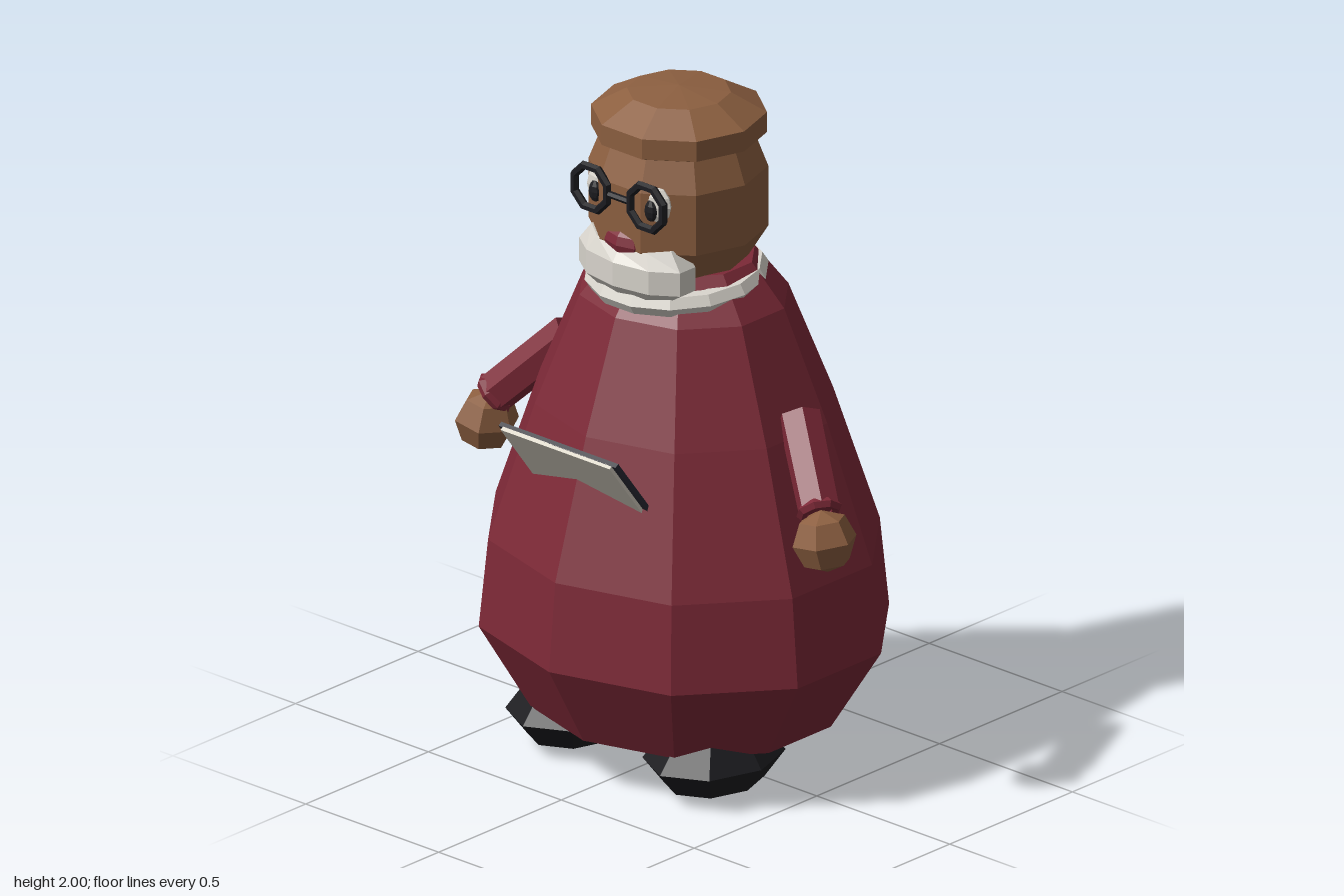
import * as THREE from 'three';

const mat = (color) => new THREE.MeshStandardMaterial({ color, flatShading: true });

export function createModel() {
  const group = new THREE.Group();
  const red = mat(0x7d2937), skin = mat(0x8c5f40), black = mat(0x1c1c20);
  const white = mat(0xd8d4cc), dark = mat(0x2a2a34), page = mat(0xd8d2c4);

  const add = (name, geometry, material, x = 0, y = 0, z = 0) => {
    const mesh = new THREE.Mesh(geometry, material);
    mesh.name = name;
    mesh.position.set(x, y, z);
    group.add(mesh);
    return mesh;
  };
  const lathe = (pts, sides = 10, start = 0) =>
    new THREE.LatheGeometry(pts.map((p) => new THREE.Vector2(...p)), sides, start);
  const ball = (rx, ry, rz, w = 8, h = 4) => new THREE.SphereGeometry(1, w, h).scale(rx, ry, rz);

  // Pear-shaped coat, wider than deep
  const coat = lathe([[0, 0.15], [0.41, 0.15], [0.55, 0.4], [0.525, 0.66], [0.4, 1.06],
    [0.28, 1.38], [0.19, 1.5], [0, 1.5]]);
  add('coat', coat.scale(1.118, 1, 1), red);

  // Head and flat cap
  add('head', lathe([[0, 1.43], [0.1, 1.44], [0.195, 1.5], [0.25, 1.59], [0.25, 1.77],
    [0.215, 1.86], [0, 1.88]], 10, Math.PI / 2), skin, 0, 0, 0.022);
  add('cap', lathe([[0, 1.85], [0.21, 1.855], [0.245, 1.87], [0.245, 1.93], [0.145, 1.985],
    [0, 2]], 10, Math.PI / 2), skin, 0, 0, 0.02);

  // Collar ring, dipping at the front
  const collar = add('collar', new THREE.TorusGeometry(0.225, 0.033, 6, 14).rotateX(Math.PI / 2),
    white, 0, 1.446, 0.03);
  collar.rotation.x = 0.06;

  // Beard, with its top corners turned up
  const beard = lathe([[0, 1.45], [0.145, 1.45], [0.19, 1.48], [0.19, 1.55], [0.15, 1.58], [0, 1.565]]);
  beard.scale(1.05, 1, 0.53);
  const p = beard.attributes.position;
  for (let i = 0; i < p.count; i++) {
    if (p.getY(i) > 1.56) p.setY(i, p.getY(i) + 0.15 * Math.abs(p.getX(i)));
  }
  add('beard', beard, white, 0, 0, 0.19);
  add('nose', ball(0.08, 0.05, 0.05, 8, 6), red, 0, 1.597, 0.228);

  // Glasses
  add('glassesBridge', new THREE.CylinderGeometry(0.01, 0.01, 0.09, 6).rotateZ(Math.PI / 2),
    black, 0, 1.737, 0.265);

  // Open book, tipped forward against the coat
  const book = new THREE.Group();
  book.name = 'book';
  const cover = new THREE.Mesh(new THREE.BoxGeometry(0.44, 0.28, 0.014), dark);
  cover.name = 'bookCover';
  const pages = new THREE.Mesh(new THREE.BoxGeometry(0.41, 0.28, 0.012), page);
  pages.name = 'bookPages';
  pages.position.z = 0.011;
  book.add(cover, pages);
  book.position.set(0, 0.96, 0.427);
  book.rotation.x = 0.65;
  group.add(book);

  for (const s of [1, -1]) {
    const side = s > 0 ? 'left' : 'right';

    // Eyes and eyeglass rims
    add(side + 'Eye', ball(0.05, 0.055, 0.03, 8, 6), white, s * 0.105, 1.735, 0.222);
    add(side + 'Pupil', ball(0.022, 0.032, 0.014, 8, 6), black, s * 0.105, 1.722, 0.248);
    add(side + 'Rim', new THREE.TorusGeometry(0.066, 0.013, 6, 8).rotateZ(Math.PI / 8),
      black, s * 0.105, 1.737, 0.265);

    // Sleeve, cuff and hand
    const from = new THREE.Vector3(s * 0.43, 1.12, -0.005);
    const to = new THREE.Vector3(s * 0.61, 0.925, 0.11);
    const dir = to.clone().sub(from);
    const sleeve = add(side + 'Sleeve', new THREE.CylinderGeometry(0.06, 0.062, dir.length(), 6), red);
    sleeve.position.copy(from).add(to).multiplyScalar(0.5);
    sleeve.quaternion.setFromUnitVectors(new THREE.Vector3(0, 1, 0), dir.clone().normalize());
    const cuff = add(side + 'Cuff', new THREE.TorusGeometry(0.05, 0.016, 5, 8), red);
    cuff.position.copy(to);
    cuff.quaternion.setFromUnitVectors(new THREE.Vector3(0, 0, 1), dir.normalize());
    const hand = add(side + 'Hand', ball(0.09, 0.09, 0.095, 6, 4), skin, s * 0.635, 0.842, 0.115);
    hand.rotation.z = s * 0.15;

    // Shoe
    add(side + 'Shoe', ball(0.178, 0.108, 0.22), black, s * 0.258, 0.108, 0.157);
  }
  return group;
}
